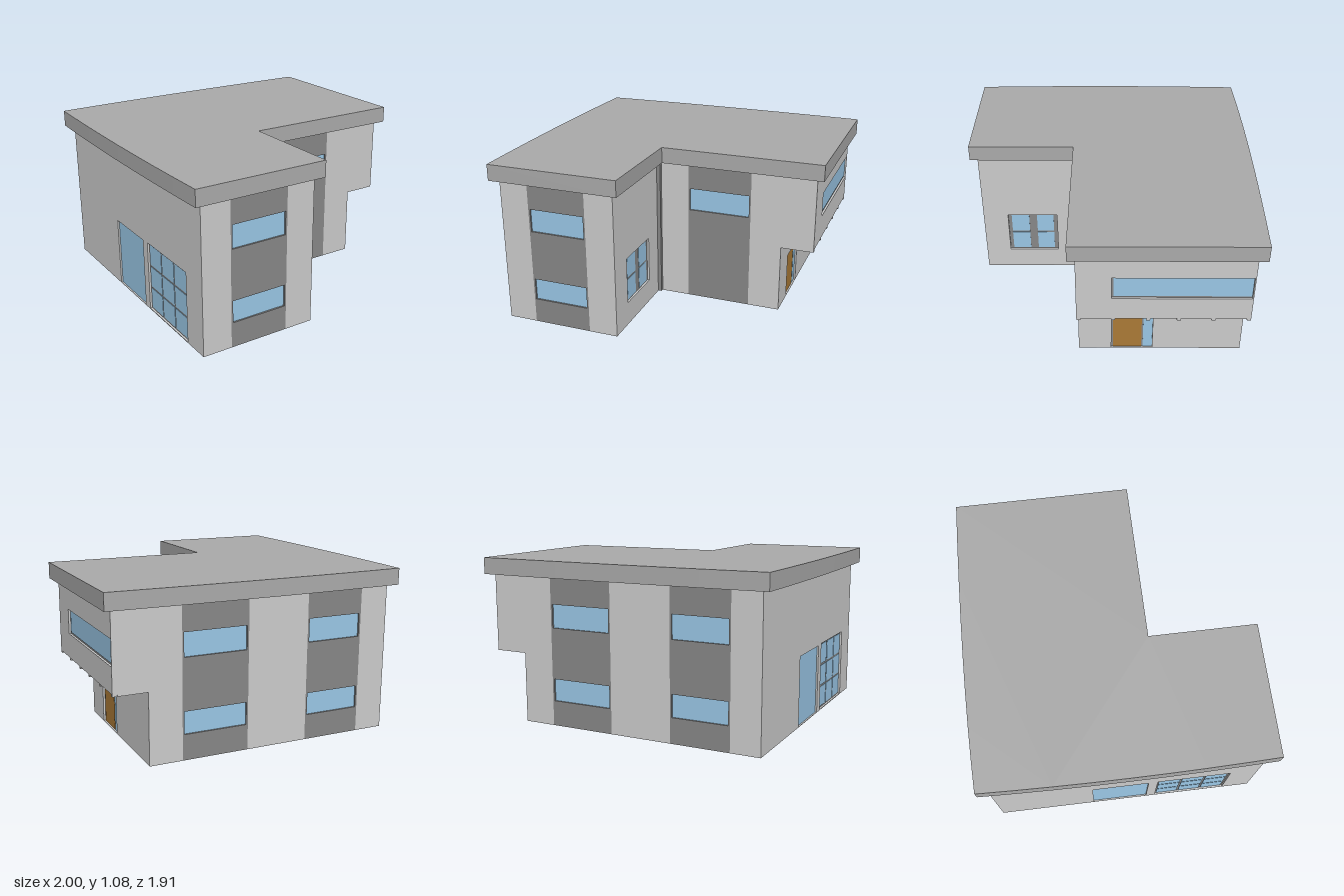
import * as THREE from 'three';

const mat = (color) => new THREE.MeshStandardMaterial({ color });
const D = 0.03; // wall thickness
const BASE = 0.002, TOP = 0.975;

export function createModel() {
  const model = new THREE.Group();
  model.name = 'house';
  const wall = mat(0xcccccc), dark = mat(0x878787), roofMat = mat(0xaaaaaa);
  const glass = mat(0x9ac7e6), wood = mat(0xab7a37);

  const add = (parent, name, geo, material) => {
    const m = new THREE.Mesh(geo, material);
    m.name = name;
    parent.add(m);
    return m;
  };
  const rect = (a, b, c, d) => [[a, c], [b, c], [b, d], [a, d]];
  const toPoints = (list) => list.map(([x, y]) => new THREE.Vector2(x, y));
  const box = (parent, name, material, x0, x1, y0, y1, z0, z1) => {
    const m = add(parent, name, new THREE.BoxGeometry(x1 - x0, y1 - y0, z1 - z0), material);
    m.position.set((x0 + x1) / 2, (y0 + y1) / 2, (z0 + z1) / 2);
    return m;
  };

  // A facade is drawn in its own plane: x to the right, y up, outside at z = 0
  const facade = (name, x, z, turn) => {
    const g = new THREE.Group();
    g.name = name;
    g.position.set(x, 0, z);
    g.rotation.y = turn;
    model.add(g);
    return g;
  };

  // Wall slab with openings given as [u0, u1, v0, v1]
  const panel = (g, name, material, outline, openings = []) => {
    const shape = new THREE.Shape(toPoints(outline));
    for (const o of openings) shape.holes.push(new THREE.Path(toPoints(rect(...o))));
    const geo = new THREE.ExtrudeGeometry(shape, { depth: D, bevelEnabled: false });
    geo.translate(0, 0, -D);
    add(g, name, geo, material);
  };

  // Recessed frame board behind an opening, carrying panes
  const backing = (g, [u0, u1, v0, v1]) =>
    box(g, 'windowFrame', dark, u0, u1, v0, v1, -D + 0.002, -0.014);
  const pane = (g, u0, u1, v0, v1, material = glass, name = 'windowPane') =>
    box(g, name, material, u0, u1, v0, v1, -D + 0.004, -0.011);

  // Dark vertical band with a window for each storey listed
  const LOW = [0.165, 0.31], HIGH = [0.645, 0.797];
  const band = (g, u0, u1, storeys) => {
    const openings = storeys.map(([a, b]) => [u0 + 0.012, u1 - 0.012, a, b]);
    panel(g, 'darkBand', dark, rect(u0, u1, BASE, TOP), openings);
    for (const o of openings) pane(g, ...o);
  };

  // Front of the wing
  const wingFront = facade('wingFront', 0, 0.91, 0);
  panel(wingFront, 'wall', wall, rect(-0.9, -0.735, BASE, TOP));
  band(wingFront, -0.735, -0.34, [LOW, HIGH]);
  panel(wingFront, 'wall', wall, rect(-0.34, -0.175, BASE, TOP));

  // Main front, with the upper storey reaching past the ground floor
  const stepped = (s) => [[0.515 * s, BASE], [0.7 * s, BASE], [0.7 * s, 0.462],
    [0.92 * s, 0.462], [0.92 * s, TOP], [0.515 * s, TOP]];
  const mainFront = facade('mainFront', 0, 0.195, 0);
  panel(mainFront, 'wall', wall, rect(-0.145, 0.075, BASE, TOP));
  band(mainFront, 0.075, 0.515, [HIGH]);
  panel(mainFront, 'wall', wall, stepped(1));

  // Back
  const back = facade('back', 0, -0.89, Math.PI);
  panel(back, 'wall', wall, stepped(-1));
  band(back, -0.515, -0.075, [LOW, HIGH]);
  panel(back, 'wall', wall, rect(-0.075, 0.34, BASE, TOP));
  band(back, 0.34, 0.735, [LOW, HIGH]);
  panel(back, 'wall', wall, rect(0.735, 0.9, BASE, TOP));

  // Inner side of the wing, with a four-pane window
  const wingSide = facade('wingSide', -0.145, 0, Math.PI / 2);
  const fourPane = [-0.733, -0.375, 0.157, 0.472];
  panel(wingSide, 'wall', wall, rect(-0.91, -0.195, BASE, TOP), [fourPane]);
  backing(wingSide, fourPane);
  for (const [a, b] of [[-0.708, -0.58], [-0.523, -0.402]])
    for (const [c, d] of [[0.165, 0.308], [0.322, 0.463]]) pane(wingSide, a, b, c, d);

  // Ground floor entrance wall
  const entrance = facade('entranceSide', 0.73, 0, Math.PI / 2);
  const doorway = [0.023, 0.298, 0.004, 0.316];
  panel(entrance, 'wall', wall, rect(-0.195, 0.89, BASE, 0.48), [doorway]);
  backing(entrance, doorway);
  pane(entrance, 0.035, 0.225, 0.005, 0.313, wood, 'door');
  pane(entrance, 0.235, 0.297, 0.005, 0.315, glass, 'doorSidelight');

  // Overhanging upper wall with a long window
  const upperSide = facade('upperSide', 0.95, 0, Math.PI / 2);
  const longWindow = [0.022, 0.882, 0.64, 0.803];
  panel(upperSide, 'wall', wall, rect(-0.195, 0.89, 0.475, TOP), [longWindow]);
  backing(upperSide, longWindow);
  pane(upperSide, 0.036, 0.88, 0.652, 0.8);

  // Soffit with cross ribs
  box(model, 'soffit', dark, 0.71, 0.925, 0.475, 0.495, -0.88, 0.185);
  for (const z of [0.182, -0.032, -0.252, -0.442, -0.657, -0.877])
    box(model, 'soffitRib', wall, 0.72, 0.95, 0.461, 0.478, z - 0.0125, z + 0.0125);

  // Outer side with a glass door and a nine-pane window
  const outer = facade('outerSide', -0.93, 0, -Math.PI / 2);
  const glassDoor = [-0.226, 0.157, 0.004, 0.47];
  const ninePane = [0.22, 0.72, 0.006, 0.475];
  panel(outer, 'wall', wall, rect(-0.89, 0.91, BASE, TOP), [glassDoor, ninePane]);
  pane(outer, ...glassDoor, glass, 'glassDoor');
  backing(outer, ninePane);
  for (let i = 0; i < 3; i++)
    for (let j = 0; j < 3; j++) {
      const u = 0.232 + i * 0.163, v = 0.017 + j * 0.153;
      pane(outer, u, u + 0.15, v, v + 0.14);
    }

  // Post in the inner corner
  box(model, 'cornerPost', dark, -0.15, -0.12, BASE, TOP, 0.19, 0.22);

  // Horizontal slab from a plan shape drawn in x and z
  const slab = (name, shape, top, thickness, material) => {
    const geo = new THREE.ExtrudeGeometry(shape, { depth: thickness, bevelEnabled: false, curveSegments: 8 });
    geo.rotateX(Math.PI / 2);
    geo.translate(0, top, 0);
    add(model, name, geo, material);
  };

  // Floor with a small glazed hatch
  const floor = new THREE.Shape(toPoints([[-0.93, -0.89], [0.73, -0.89], [0.73, 0.195],
    [-0.145, 0.195], [-0.145, 0.91], [-0.93, 0.91]]));
  floor.holes.push(new THREE.Path(toPoints(rect(-0.52, -0.35, -0.85, -0.7))));
  slab('floor', floor, BASE, BASE, roofMat);
  box(model, 'floorHatch', glass, -0.53, -0.34, 0.001, 0.008, -0.86, -0.69);

  // Flat roof, slightly bowed on the outer side and the back
  const roof = new THREE.Shape();
  roof.moveTo(-0.983, 0.955);
  roof.quadraticCurveTo(-1.017, 0, -0.983, -0.938);
  roof.quadraticCurveTo(-0.2, -0.975, 1, -0.938);
  roof.lineTo(1, 0.24);
  roof.lineTo(-0.097, 0.24);
  roof.lineTo(-0.097, 0.955);
  roof.closePath();
  slab('roof', roof, 1.08, 0.108, roofMat);

  return model;
}
